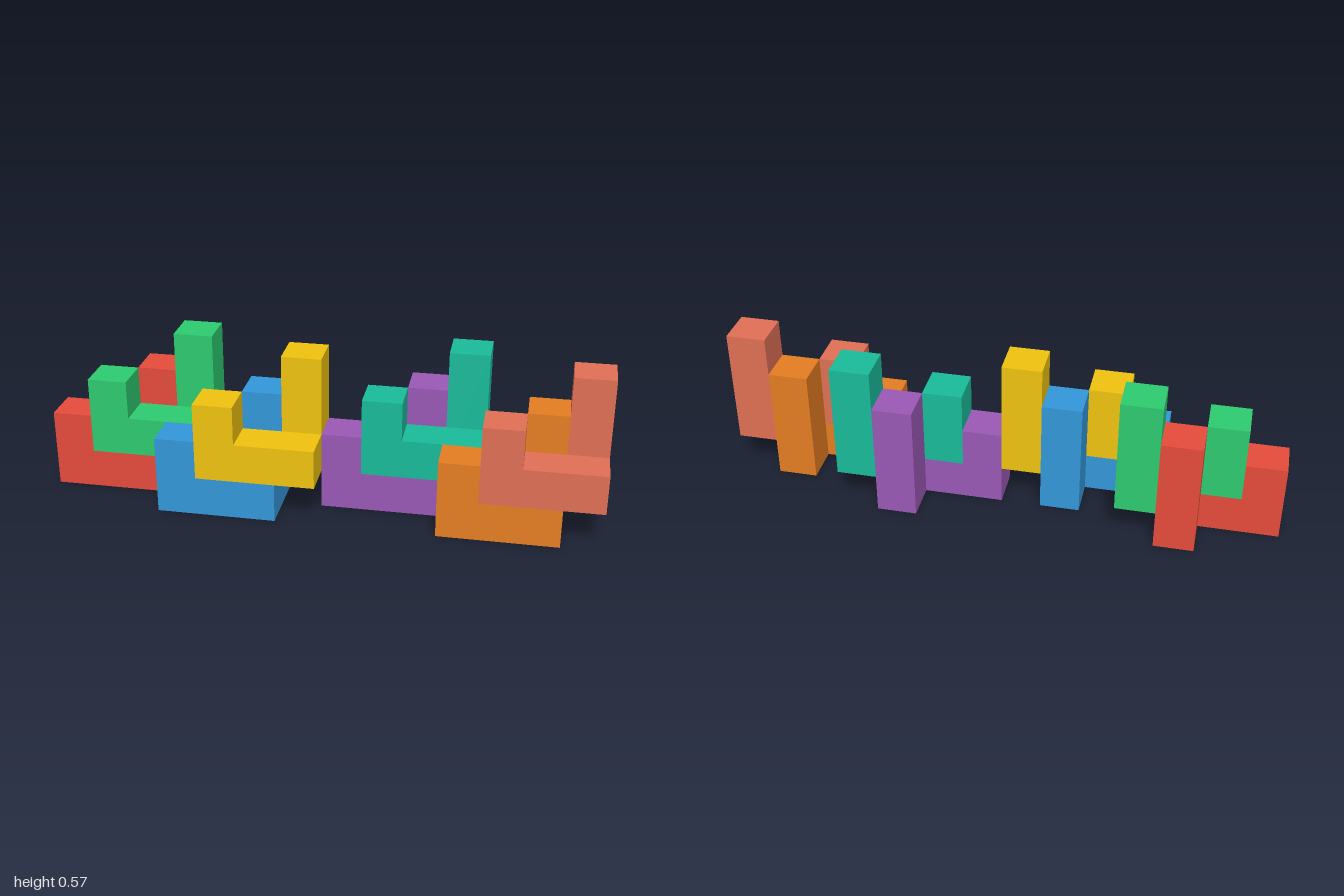
import * as THREE from 'three';

const U = 1 / 7; // edge of one cube cell

// Each piece: name, colour, and the cell of its front lower left corner (x, y, z)
const PIECES = [
  ['red', 0xe74c3c, 0, 0, 0],
  ['green', 0x2ecc71, 1, 1, 0],
  ['blue', 0x3498db, 3, 0, 1],
  ['yellow', 0xf1c40f, 4, 1, 1],
  ['purple', 0x9b59b6, 7, 0, 0],
  ['teal', 0x1abc9c, 8, 1, 0],
  ['orange', 0xe67e22, 10, 0, 1],
  ['coral', 0xe17055, 11, 1, 1],
];

// L-shaped bar: three cells long with one cell standing on its left end
function barGeometry() {
  const outline = [[0, 0], [3, 0], [3, 1], [1, 1], [1, 2], [0, 2]];
  const shape = new THREE.Shape(outline.map(([x, y]) => new THREE.Vector2(x * U, y * U)));
  return new THREE.ExtrudeGeometry(shape, { depth: U, bevelEnabled: false }).translate(0, 0, -U / 2);
}

// Three-cell column behind the other end of the bar
function columnGeometry() {
  return new THREE.BoxGeometry(U, 3 * U, U).translate(2.5 * U, 1.5 * U, -U);
}

export function createModel() {
  const model = new THREE.Group();
  model.name = 'interlockingBlocks';
  const bar = barGeometry();
  const column = columnGeometry();

  for (const [name, color, x, y, z] of PIECES) {
    const material = new THREE.MeshStandardMaterial({ color });
    const piece = new THREE.Group();
    piece.name = `${name}Piece`;
    for (const [part, geometry] of [['Bar', bar], ['Column', column]]) {
      const mesh = new THREE.Mesh(geometry, material);
      mesh.name = name + part;
      piece.add(mesh);
    }
    piece.position.set(x * U - 1, y * U, z * U);
    model.add(piece);
  }
  return model;
}
